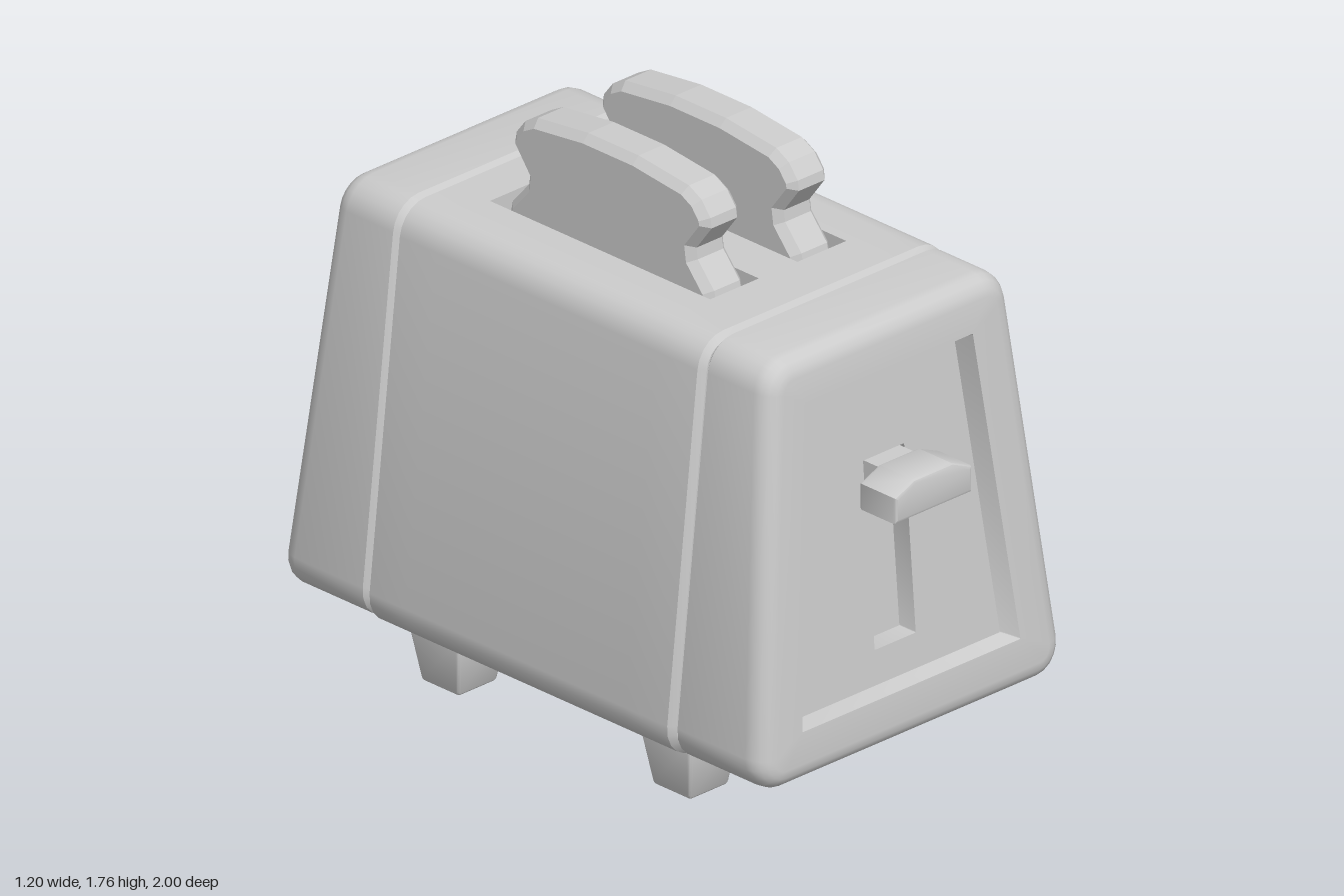
import * as THREE from 'three';
import { toCreasedNormals } from 'three/addons/utils/BufferGeometryUtils.js';
import { RoundedBoxGeometry } from 'three/addons/geometries/RoundedBoxGeometry.js';

const material = new THREE.MeshStandardMaterial({ color: 0xcccccc });
const BODY = { y0: 0.19, y1: 1.45, xb: 0.605, xt: 0.465, r: 0.1 };
const SLOTS = [[0.26, 0.07], [-0.08, -0.27]];

function addMesh(parent, name, geometry) {
  const mesh = new THREE.Mesh(geometry, material);
  mesh.name = name;
  parent.add(mesh);
  return mesh;
}

// Rounded trapezoid, counter-clockwise from +z; topPoints are inserted in the top edge
function ring({ y0, y1, xb, xt, r }, inset = 0, topPoints = []) {
  const slope = (xb - xt) / (y1 - y0);
  const phi = Math.atan(slope);
  const rad = Math.max(r - inset, 0.004);
  const arc = (cy, from, to) => {
    const cx = xb - slope * (cy - y0) - (inset + rad) / Math.cos(phi);
    return [0, 1, 2, 3, 4, 5].map((i) => {
      const a = from + (to - from) * i / 5;
      return [cx + rad * Math.cos(a), cy + rad * Math.sin(a)];
    });
  };
  const right = [
    ...arc(y0 + inset + rad, -Math.PI / 2, phi),
    ...arc(y1 - inset - rad, phi, Math.PI / 2),
  ];
  const left = right.map(([x, y]) => [-x, y]).reverse();
  return [...right, ...topPoints, ...left];
}

// Joins [points, z] sections in order of rising z; z may depend on y. Both ends are closed
function loft(sections) {
  const rings = sections.map(([pts, z]) =>
    pts.map(([x, y]) => new THREE.Vector3(x, y, typeof z === 'function' ? z(y) : z)));
  const n = rings[0].length;
  const pos = [];
  const tri = (...v) => v.forEach((p) => pos.push(p.x, p.y, p.z));
  for (let k = 0; k + 1 < rings.length; k++) {
    const a = rings[k], b = rings[k + 1];
    for (let i = 0; i < n; i++) {
      const j = (i + 1) % n;
      tri(a[i], a[j], b[j]);
      tri(a[i], b[j], b[i]);
    }
  }
  const centre = (r) => r.reduce((s, p) => s.add(p), new THREE.Vector3()).divideScalar(n);
  const first = rings[0], last = rings[rings.length - 1];
  const c0 = centre(first), c1 = centre(last);
  for (let i = 0; i < n; i++) {
    const j = (i + 1) % n;
    tri(c0, first[j], first[i]);
    tri(c1, last[i], last[j]);
  }
  const g = new THREE.BufferGeometry();
  g.setAttribute('position', new THREE.Float32BufferAttribute(pos, 3));
  return toCreasedNormals(g, 0.6);
}

// End section with a sloping, recessed face and an optional lever slot
function endCap(seam, reach, withSlot) {
  const face = (depth) => (y) => reach - 0.081 * (y - 0.19) - depth;
  const sections = [[ring(BODY, 0.02), seam], [ring(BODY), seam + 0.018]];
  const edge = 0.06;
  for (let k = 0; k <= 4; k++) {
    const a = k * Math.PI / 8;
    sections.push([ring(BODY, edge * (1 - Math.cos(a))), face(edge * (1 - Math.sin(a)))]);
  }
  sections.push([ring({ y0: 0.345, y1: 1.3, xb: 0.425, xt: 0.315, r: 0.004 }), face(0)]);
  sections.push([ring({ y0: 0.355, y1: 1.275, xb: 0.4, xt: 0.295, r: 0.004 }), face(0.055)]);
  if (withSlot) {
    const slot = ring({ y0: 0.46, y1: 1.03, xb: 0.08, xt: 0.08, r: 0.004 });
    sections.push([slot, face(0.055)], [slot, face(0.12)]);
  }
  return loft(sections);
}

// Middle section: the slots are notches in the top edge
function middleBody() {
  const wide = { ...BODY, y0: 0.187, xb: 0.611, xt: 0.471 };
  const section = (inset, depth) => {
    const top = wide.y1 - inset;
    const notches = SLOTS.flatMap(([a, b]) =>
      [[a, top], [a, top - depth], [b, top - depth], [b, top]]);
    return ring(wide, inset, notches);
  };
  return loft([
    [section(0.02, 0), -0.648], [section(0, 0), -0.633],
    [section(0, 0), -0.49], [section(0, 0.4), -0.49],
    [section(0, 0.4), 0.385], [section(0, 0), 0.385],
    [section(0, 0), 0.55], [section(0.02, 0), 0.567],
  ]);
}

// Bevelled extrusion centred on its own depth, keeping the given outline
function slab(points, depth, bevel, segments) {
  const g = new THREE.ExtrudeGeometry(new THREE.Shape(points.map((p) => new THREE.Vector2(...p))), {
    depth: depth - 2 * bevel, bevelEnabled: true, bevelSize: bevel,
    bevelThickness: bevel, bevelOffset: -bevel, bevelSegments: segments,
  });
  return g.translate(0, 0, bevel - depth / 2);
}

function toastGeometry() {
  const half = [[0.415, 1.08], [0.42, 1.36], [0.4, 1.45], [0.335, 1.525], [0.33, 1.56],
    [0.39, 1.64], [0.385, 1.67], [0.35, 1.715], [0.3, 1.742], [0.1, 1.765]];
  const outline = [...half, ...half.map(([x, y]) => [-x, y]).reverse()];
  return slab(outline, 0.147, 0.024, 1).rotateY(-Math.PI / 2);
}

// Rounded block narrowing towards the floor
function footGeometry() {
  const g = new RoundedBoxGeometry(0.21, 0.19, 0.21, 2, 0.014);
  const p = g.attributes.position;
  for (let i = 0; i < p.count; i++) {
    const s = 0.855 + 0.145 * (p.getY(i) / 0.095);
    p.setXYZ(i, p.getX(i) * s, p.getY(i), p.getZ(i) * s);
  }
  return toCreasedNormals(g, 0.6);
}

export function createModel() {
  const model = new THREE.Group();
  model.name = 'toaster';

  addMesh(model, 'middleBody', middleBody());
  addMesh(model, 'frontCap', endCap(0.567, 0.922, true));
  addMesh(model, 'backCap', endCap(0.648, 1.006, false)).rotation.y = Math.PI;

  // Bread slices
  for (const [a, b] of SLOTS) {
    addMesh(model, 'toast', toastGeometry()).position.set((a + b) / 2, 0, -0.045);
  }

  // Lever handle and its stem
  const handle = [[-0.15, 0.925], [0.15, 0.925], [0.15, 1.005], [0.075, 1.037],
    [-0.075, 1.037], [-0.15, 1.005]];
  addMesh(model, 'leverHandle', toCreasedNormals(slab(handle, 0.145, 0.01, 2), 0.4))
    .position.z = 0.9275;
  addMesh(model, 'leverStem', new THREE.BoxGeometry(0.14, 0.08, 0.14))
    .position.set(0, 0.985, 0.82);

  // Feet
  for (const x of [-0.38, 0.38]) {
    for (const z of [0.42, -0.5]) {
      addMesh(model, 'foot', footGeometry()).position.set(x, 0.095, z);
    }
  }
  return model;
}
